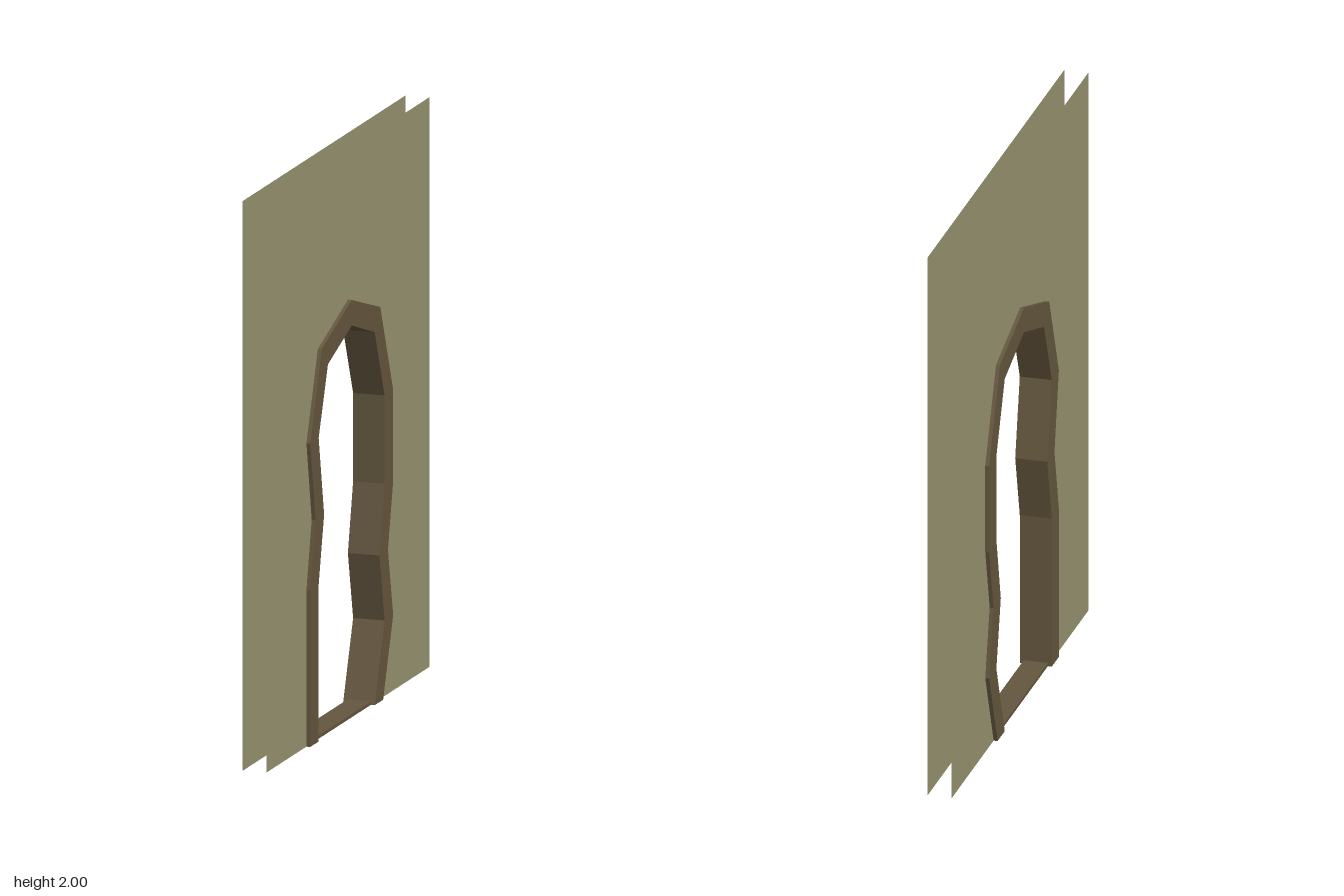
import * as THREE from 'three';

const FRAME_X = 0.057; // half depth of the frame
const PANEL_X = 0.043; // half spacing of the wall panels
const WALL_Z = 0.857;
const WALL_H = 2;

// Doorway outline as [z, y], from the +z foot over the top to the -z foot.
const outer = [
  [0.435, 0], [0.435, 0.55], [0.38, 0.785], [0.435, 1.065], [0.315, 1.37], [0, 1.475],
  [-0.30, 1.385], [-0.435, 1.065], [-0.435, 0.745], [-0.38, 0.515], [-0.435, 0.275], [-0.33, 0],
];
const inner = [
  [0.347, 0], [0.347, 0.55], [0.29, 0.785], [0.347, 1.065], [0.25, 1.303], [0, 1.385],
  [-0.24, 1.31], [-0.345, 1.065], [-0.345, 0.755], [-0.29, 0.515], [-0.345, 0.275], [-0.24, 0],
];

function material(color, side = THREE.FrontSide) {
  return new THREE.MeshStandardMaterial({ color, side, flatShading: true });
}

function add(group, name, geometry, mat) {
  const mesh = new THREE.Mesh(geometry, mat);
  mesh.name = name;
  group.add(mesh);
  return mesh;
}

// Hollow box section swept along the outline, open at both feet.
function frameGeometry() {
  const rings = outer.map(([oz, oy], i) => {
    const [iz, iy] = inner[i];
    return [
      [FRAME_X, oy, oz], [-FRAME_X, oy, oz],
      [-FRAME_X, iy, iz], [FRAME_X, iy, iz],
    ];
  });
  const positions = [];
  for (let i = 0; i < rings.length - 1; i++) {
    for (let k = 0; k < 4; k++) {
      const n = (k + 1) % 4;
      const a = rings[i][k], b = rings[i][n], c = rings[i + 1][n], d = rings[i + 1][k];
      positions.push(...a, ...d, ...c, ...a, ...c, ...b);
    }
  }
  const geometry = new THREE.BufferGeometry();
  geometry.setAttribute('position', new THREE.Float32BufferAttribute(positions, 3));
  geometry.computeVertexNormals();
  return geometry;
}

// Thin wall sheet facing side * x; its opening edge is hidden inside the frame.
function panelGeometry(side) {
  const opening = outer.map(([z, y], i) => [(z + inner[i][0]) / 2, (y + inner[i][1]) / 2]);
  const outline = [
    ...opening, [-WALL_Z, 0], [-WALL_Z, WALL_H], [WALL_Z, WALL_H], [WALL_Z, 0],
  ];
  const shape = new THREE.Shape(outline.map(([z, y]) => new THREE.Vector2(-side * z, y)));
  return new THREE.ShapeGeometry(shape)
    .rotateY(side * Math.PI / 2)
    .translate(side * PANEL_X, 0, 0);
}

export function createModel() {
  const model = new THREE.Group();
  model.name = 'doorway';

  // Two parallel wall sheets
  const wallMaterial = material(0x98946f, THREE.DoubleSide);
  add(model, 'leftWallPanel', panelGeometry(1), wallMaterial);
  add(model, 'rightWallPanel', panelGeometry(-1), wallMaterial);

  // Crooked wooden frame
  const woodMaterial = material(0x65573f);
  add(model, 'doorFrame', frameGeometry(), woodMaterial);

  // Thin floor strip between the feet
  const z0 = -0.27, z1 = 0.36;
  const sill = add(model, 'threshold',
    new THREE.BoxGeometry(2 * PANEL_X, 0.012, z1 - z0), woodMaterial);
  sill.position.set(0, 0.006, (z0 + z1) / 2);

  return model;
}
